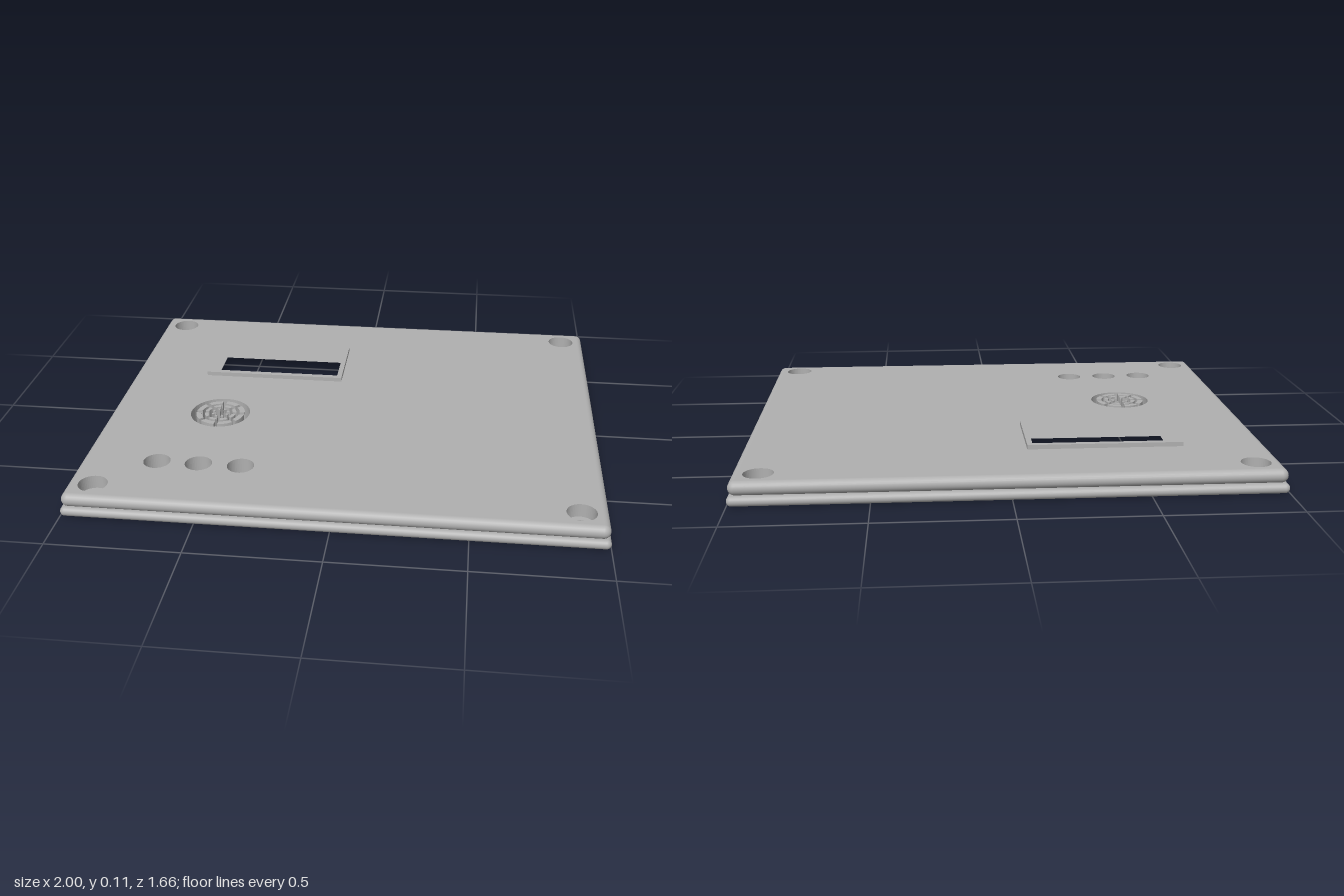
import * as THREE from 'three';

const WINDOW = { x0: -0.65, x1: -0.1, z0: -0.503, z1: -0.231 };
const BUTTONS = [-0.702, -0.54, -0.376];
const GRILLE = { x: -0.543, z: 0.13, r: 0.122 };

// Shapes are drawn with shape y = -z, then laid flat.
function rectPath(path, x0, x1, z0, z1) {
  path.moveTo(x0, -z0).lineTo(x1, -z0).lineTo(x1, -z1).lineTo(x0, -z1).closePath();
  return path;
}

function circlePath(x, z, r) {
  const p = new THREE.Path();
  p.absarc(x, -z, r, 0, Math.PI * 2);
  return p;
}

function slab(shapes, y0, y1) {
  const g = new THREE.ExtrudeGeometry(shapes, { depth: y1 - y0, bevelEnabled: false, curveSegments: 24 });
  return g.rotateX(-Math.PI / 2).translate(0, y0, 0);
}

// Half-round edge running round a rectangle, with ball corners
function roundedRim(hx, hz, r, y) {
  const pos = [], nor = [], idx = [];
  const arc = 6, rows = 12;
  const corners = [[1, 1], [-1, 1], [-1, -1], [1, -1]];
  const cols = corners.length * (arc + 1);
  for (let c = 0; c <= cols; c++) {
    const k = Math.floor((c % cols) / (arc + 1));
    const a = (k + (c % (arc + 1)) / arc) * Math.PI / 2;
    const [sx, sz] = corners[k];
    for (let j = 0; j <= rows; j++) {
      const t = (j / rows - 0.5) * Math.PI;
      const n = [Math.cos(t) * Math.cos(a), Math.sin(t), Math.cos(t) * Math.sin(a)];
      nor.push(...n);
      pos.push(sx * hx + r * n[0], y + r * n[1], sz * hz + r * n[2]);
      if (c < cols && j < rows) {
        const p = c * (rows + 1) + j, q = p + rows + 1;
        idx.push(p, p + 1, q, q, p + 1, q + 1);
      }
    }
  }
  const g = new THREE.BufferGeometry();
  g.setAttribute('position', new THREE.Float32BufferAttribute(pos, 3));
  g.setAttribute('normal', new THREE.Float32BufferAttribute(nor, 3));
  g.setIndex(idx);
  return g;
}

// One curved bar of the speaker grille, trimmed by straight radial slots
function grilleBar(index, r0, r1) {
  const slot = 0.008, mid = (index + 0.5) * Math.PI / 4;
  const h0 = Math.PI / 8 - Math.asin(slot / r0);
  const h1 = Math.PI / 8 - Math.asin(slot / r1);
  const s = new THREE.Shape();
  s.absarc(GRILLE.x, -GRILLE.z, r1, mid - h1, mid + h1, false);
  s.absarc(GRILLE.x, -GRILLE.z, r0, mid + h0, mid - h0, true);
  s.closePath();
  return s;
}

export function createModel() {
  const group = new THREE.Group();
  const grey = new THREE.MeshStandardMaterial({ color: 0xb0b0b0 });
  grey.name = 'grey plastic';

  const add = (name, geometry, parent = group) => {
    const m = new THREE.Mesh(geometry, grey);
    m.name = name;
    parent.add(m);
  };

  // Plate with round edges and all openings cut through
  function plate(name, halfX, halfZ, y0, y1, screwRadius) {
    const part = new THREE.Group();
    part.name = name;
    const r = (y1 - y0) / 2, hx = halfX - r, hz = halfZ - r;
    const s = rectPath(new THREE.Shape(), -hx, hx, -hz, hz);
    s.holes.push(rectPath(new THREE.Path(), WINDOW.x0, WINDOW.x1, WINDOW.z0, WINDOW.z1));
    s.holes.push(circlePath(GRILLE.x, GRILLE.z, GRILLE.r));
    for (const x of BUTTONS) s.holes.push(circlePath(x, 0.542, 0.052));
    for (const x of [-0.896, 0.896])
      for (const z of [-0.728, 0.728]) s.holes.push(circlePath(x, z, screwRadius));
    add(name + 'Body', slab(s, y0, y1), part);
    add(name + 'Edge', roundedRim(hx, hz, r, (y0 + y1) / 2), part);
    group.add(part);
  }

  // Small screw holes below, wide recesses above
  plate('bottomPlate', 1, 0.83, 0, 0.037, 0.031);
  plate('topPlate', 0.995, 0.825, 0.037, 0.09, 0.055);

  // Raised frame round the display window
  const frame = rectPath(new THREE.Shape(), -0.674, -0.079, -0.526, -0.207);
  frame.holes.push(rectPath(new THREE.Path(), WINDOW.x0, WINDOW.x1, WINDOW.z0, WINDOW.z1));
  add('windowFrame', slab(frame, 0.085, 0.107));

  // Speaker grille: three rings of eight bars
  const bars = [];
  for (const [r0, r1] of [[0.078, 0.1], [0.05, 0.065], [0.024, 0.036]])
    for (let i = 0; i < 8; i++) bars.push(grilleBar(i, r0, r1));
  add('speakerGrille', slab(bars, 0, 0.09));

  return group;
}
